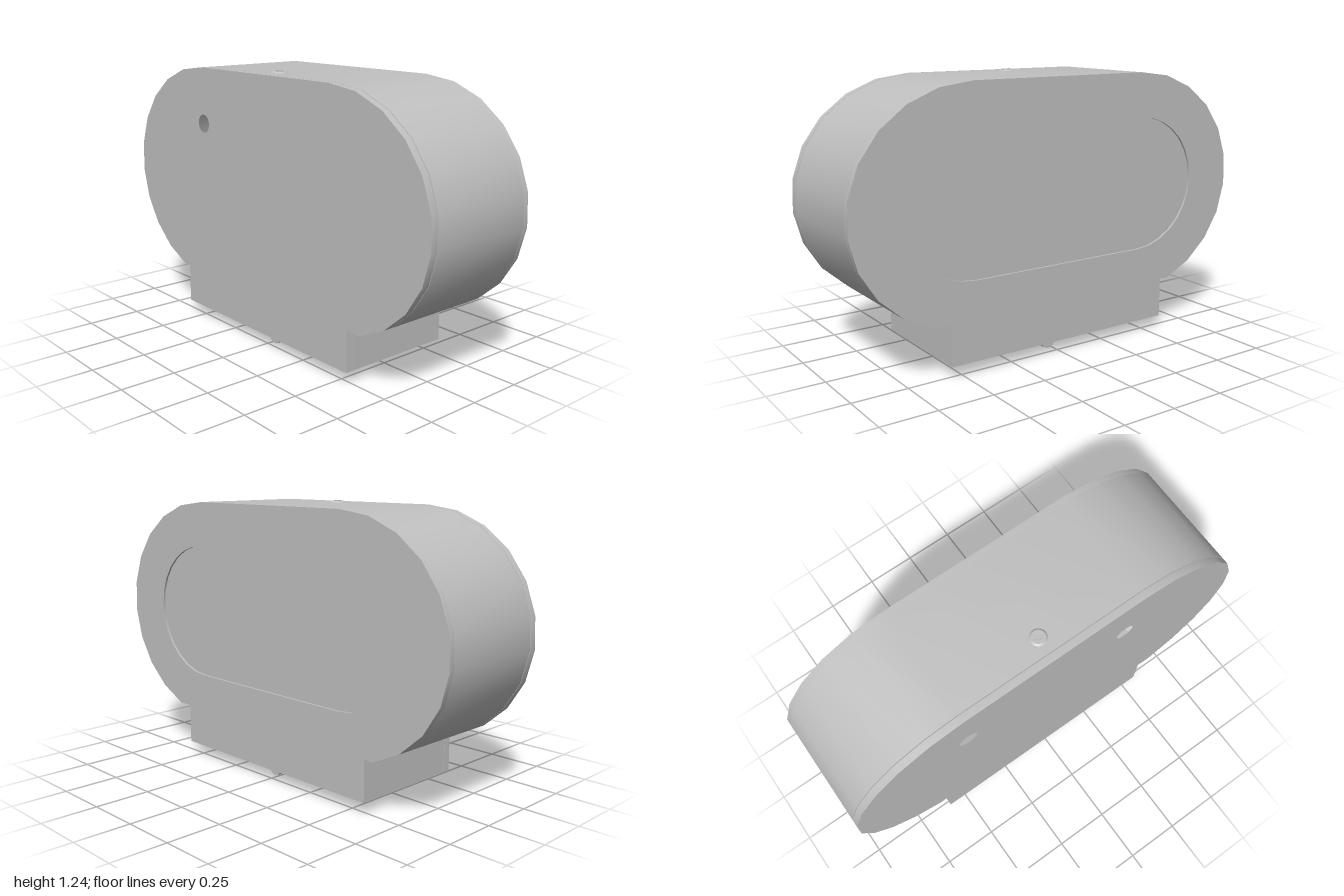
import * as THREE from 'three';
import { toCreasedNormals } from 'three/addons/utils/BufferGeometryUtils.js';

const CY = 0.715;       // height of the body's centre
const FLAT = 0.44;      // half length of the straight top
const FOOT = 0.055;     // underside of the rectangular foot

// Body profile running from one foot corner over the top to the other.
// First coordinate is -z, second is y; d insets the outline.
function outline(d = 0) {
  const pts = [[-0.56 + d, FOOT], [-0.56 + d, 0.24 + d]];
  const arc = [];
  for (let a = 0; a <= 10; a++) {
    const t = (a * 16 * Math.PI) / 180;
    arc.push([FLAT + (0.56 - d) * Math.sin(t), CY + (0.51 - d) * Math.cos(t)]);
  }
  for (const [u, v] of [...arc].reverse()) pts.push([-u, v]);
  pts.push(...arc, [0.59 - d, 0.24 + d], [0.59 - d, FOOT]);
  return pts.map(([u, v]) => new THREE.Vector2(u, v));
}

// Rounded window profile
function windowPoints() {
  const pts = [];
  for (const side of [1, -1]) {
    for (let i = 0; i <= 14; i++) {
      const t = (i / 14) * Math.PI;
      pts.push(new THREE.Vector2(
        side * (FLAT + 0.32 * Math.sin(t)),
        CY + side * 0.3075 * Math.cos(t)));
    }
  }
  return pts;
}

// Extrudes a profile sideways from x0 to x1
function slab(shape, x0, x1) {
  const geo = new THREE.ExtrudeGeometry(shape, { depth: x1 - x0, bevelEnabled: false, curveSegments: 24 });
  geo.rotateY(Math.PI / 2);
  geo.translate(x0, 0, 0);
  return toCreasedNormals(geo, 0.5);
}

export function createModel() {
  const model = new THREE.Group();
  model.name = 'rollDispenser';
  const grey = new THREE.MeshStandardMaterial({ color: 0xc0c0c0 });
  grey.name = 'grey';

  const add = (name, geo, parent = model) => {
    const mesh = new THREE.Mesh(geo, grey);
    mesh.name = name;
    parent.add(mesh);
    return mesh;
  };
  const box = (name, x0, x1, y0, y1, z0, z1, parent) => {
    const geo = new THREE.BoxGeometry(x1 - x0, y1 - y0, z1 - z0);
    geo.translate((x0 + x1) / 2, (y0 + y1) / 2, (z0 + z1) / 2);
    return add(name, geo, parent);
  };

  // Hollow cover: surrounding wall, open underneath
  const wall = new THREE.Shape([...outline(), ...outline(0.025).reverse()]);
  add('coverWall', slab(wall, -0.243, 0.255));

  // Cover face with a recessed window
  const face = new THREE.Shape(outline());
  face.holes.push(new THREE.Path(windowPoints().reverse()));
  add('coverFace', slab(face, 0.255, 0.28));
  add('windowPanel', slab(new THREE.Shape(windowPoints()), 0.25, 0.27));

  // Wall plate with two mounting holes
  const plate = new THREE.Shape(outline());
  for (const z of [-0.43, 0.37]) {
    const hole = new THREE.Path();
    hole.absarc(-z, 0.965, 0.042, 0, Math.PI * 2, true);
    plate.holes.push(hole);
  }
  add('mountingPlate', slab(plate, -0.28, -0.246));

  // Lock on the top: disc, raised key barrel and slot bar
  const lock = new THREE.Group();
  lock.name = 'lock';
  lock.position.set(-0.165, 1.225, -0.005);
  model.add(lock);
  add('lockDisc', new THREE.CylinderGeometry(0.03, 0.038, 0.006, 24), lock).position.y = 0.003;
  add('keyBarrel', new THREE.CylinderGeometry(0.013, 0.013, 0.004, 16), lock).position.y = 0.007;
  box('keySlot', -0.003, 0.003, 0.006, 0.01, -0.022, 0.022, lock);

  // Rounded tear bar hanging below the opening
  const bar = new THREE.Shape();
  bar.moveTo(0.015, 0.15);
  bar.lineTo(-0.055, 0.15);
  bar.lineTo(-0.055, 0.035);
  bar.absarc(-0.02, 0.035, 0.035, Math.PI, Math.PI * 2, false);
  bar.closePath();
  add('tearBar', slab(bar, -0.225, 0.21));

  // Inner divider and shelf that carry the bar
  box('divider', -0.225, 0.21, 0.14, 0.5, -0.03, 0.06);
  box('shelf', -0.243, 0.255, 0.22, 0.25, 0.06, 0.535);

  // Guide ribs along the inside of the wall plate
  for (const y of [0.09, 0.17, 0.27]) {
    box('guideRib', -0.246, -0.205, y, y + 0.025, -0.56, -0.03);
  }
  box('guideRib', -0.246, -0.205, 0.09, 0.115, 0.06, 0.53);

  return model;
}
